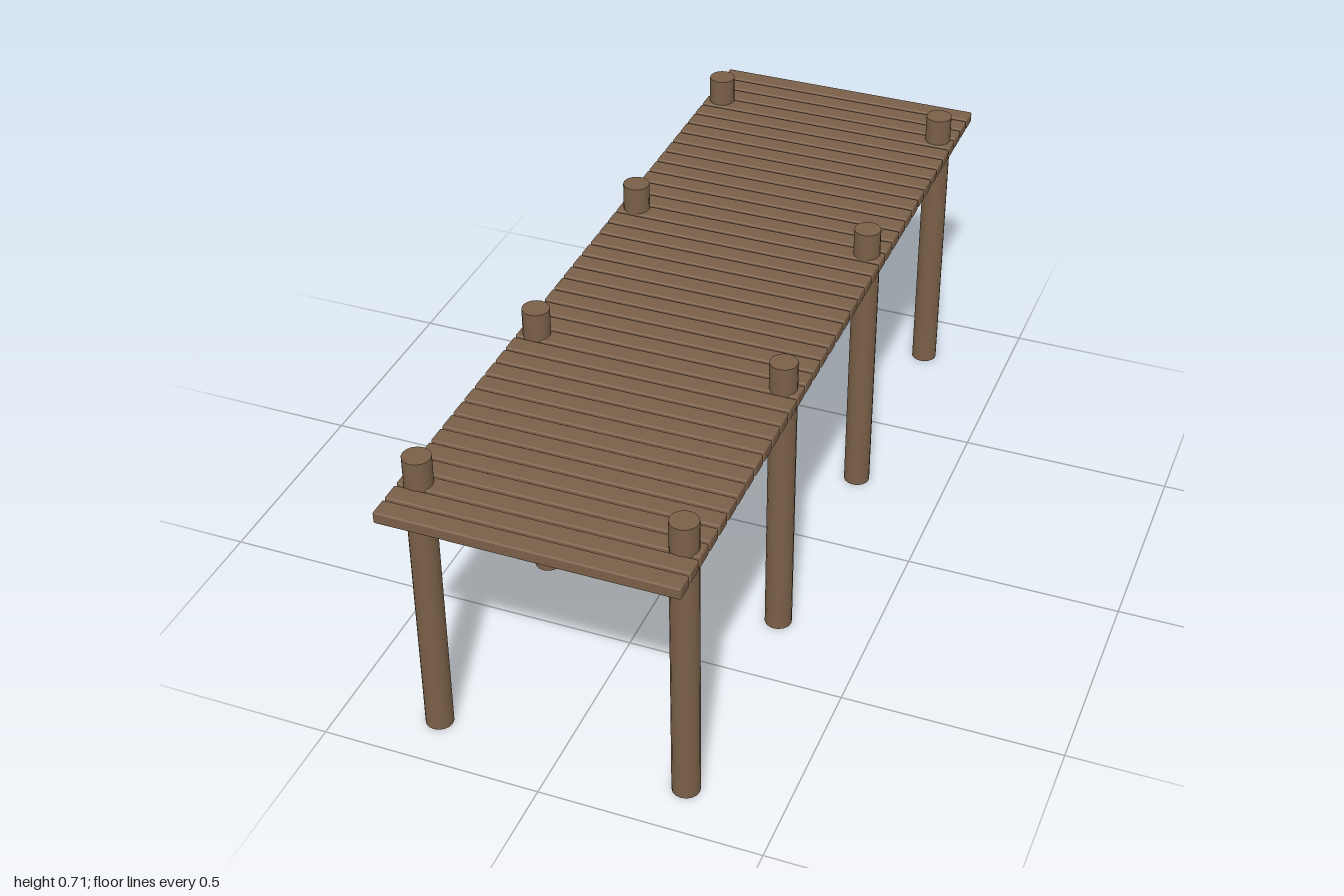
import * as THREE from 'three';
import { RoundedBoxGeometry } from 'three/addons/geometries/RoundedBoxGeometry.js';

export function createModel() {
  const pier = new THREE.Group();
  pier.name = 'pier';
  const wood = new THREE.MeshStandardMaterial({ color: 0x7a6048 });
  wood.name = 'weathered wood';

  // Deck: a row of softly rounded cross planks with narrow gaps
  const deck = new THREE.Group();
  deck.name = 'deck';
  const count = 39, plankWidth = 0.045;
  const pitch = (2 - plankWidth) / (count - 1);
  const plankGeometry = new RoundedBoxGeometry(0.654, 0.027, plankWidth, 2, 0.004);
  for (let i = 0; i < count; i++) {
    const plank = new THREE.Mesh(plankGeometry, wood);
    plank.name = 'plank';
    plank.position.set(-0.001, 0.6355, -1 + plankWidth / 2 + i * pitch);
    deck.add(plank);
  }
  pier.add(deck);

  // Posts: four pairs of round piles rising through the deck
  const posts = new THREE.Group();
  posts.name = 'posts';
  const height = 0.714;
  const postGeometry = new THREE.CylinderGeometry(0.031, 0.031, height, 16);
  for (let i = 0; i < 4; i++) {
    for (const side of [-1, 1]) {
      const post = new THREE.Mesh(postGeometry, wood);
      post.name = side > 0 ? 'leftPost' : 'rightPost';
      post.position.set(side * 0.286 - 0.001, height / 2, -0.835 + i * 0.571);
      posts.add(post);
    }
  }
  pier.add(posts);

  return pier;
}
